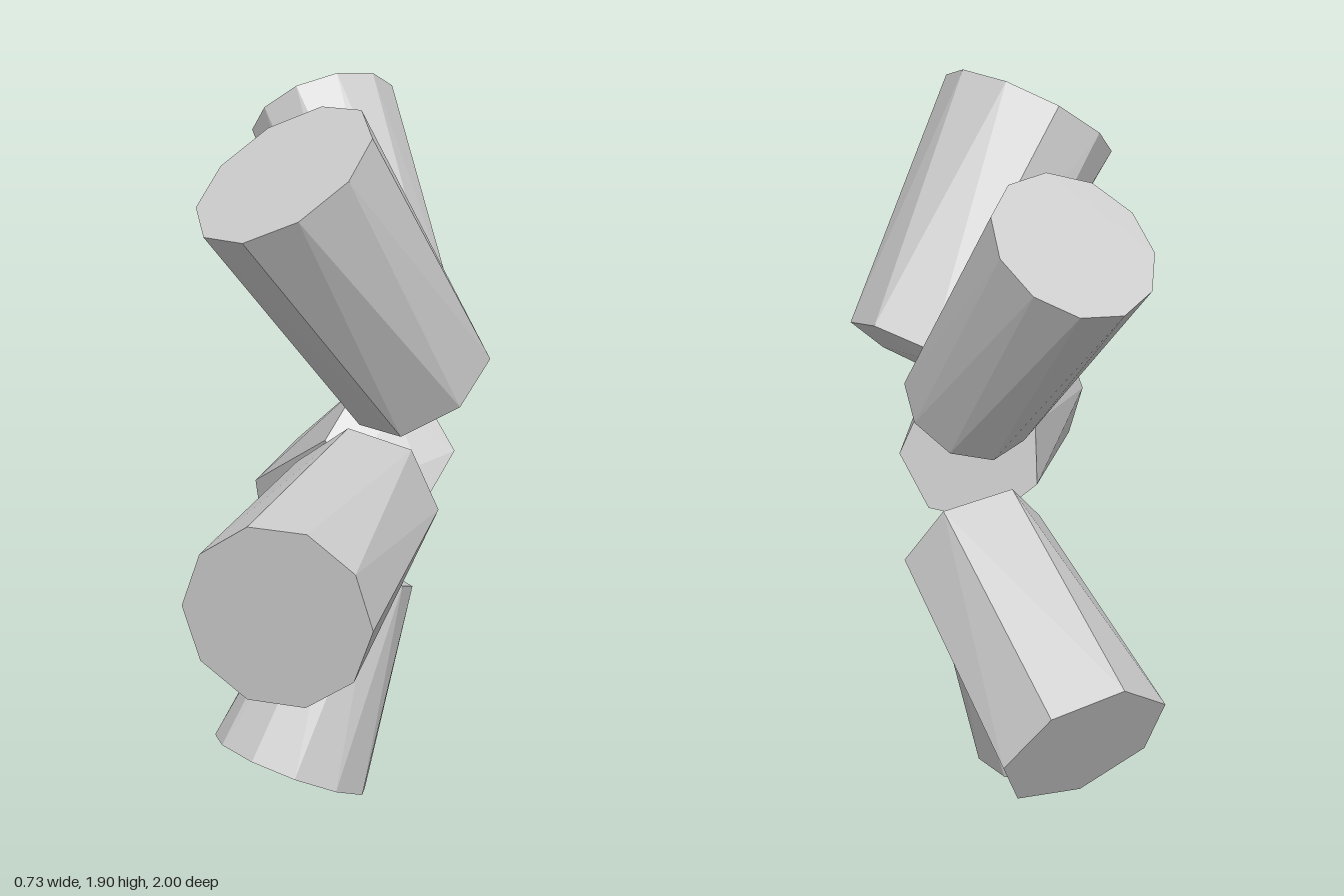
import * as THREE from 'three';
import { ConvexGeometry } from 'three/addons/geometries/ConvexGeometry.js';

// Points of a polygon ring around a centre, square to the axis
function ring(center, axis, radius, sides, phase) {
  const turn = new THREE.Quaternion().setFromUnitVectors(new THREE.Vector3(0, 1, 0), axis);
  const points = [];
  for (let i = 0; i < sides; i++) {
    const a = phase + (i / sides) * Math.PI * 2;
    points.push(new THREE.Vector3(Math.cos(a) * radius, 0, Math.sin(a) * radius)
      .applyQuaternion(turn).add(center));
  }
  return points;
}

// Tapered chunk: wide outer end, narrower and coarser inner end with a blunt tip
function chunk({ outer, inner, radii, sides, phase = 0, tip = 0 }) {
  const a = new THREE.Vector3(...outer);
  const b = new THREE.Vector3(...inner);
  const axis = a.clone().sub(b).normalize();
  const points = [
    ...ring(a, axis, radii[0], sides[0], phase),
    ...ring(b, axis, radii[1], sides[1], phase),
  ];
  if (tip > 0) {
    const tipCenter = b.clone().addScaledVector(axis, -tip);
    points.push(...ring(tipCenter, axis, radii[1] * 0.5, 3, phase + 0.4));
  }
  return new ConvexGeometry(points);
}

const CHUNKS = {
  upperFrontChunk: {
    outer: [-0.14, 1.76, 0.47], inner: [0.2, 1.18, 0.2],
    radii: [0.248, 0.195], sides: [10, 7], phase: 0.2, tip: 0.02,
  },
  upperBackChunk: {
    outer: [-0.09, 1.755, -0.69], inner: [0.12, 1.23, -0.32],
    radii: [0.21, 0.17], sides: [11, 9], phase: 0.1, tip: 0.02,
  },
  frontChunk: {
    outer: [-0.135, 0.785, 0.935], inner: [0.05, 0.87, 0.22],
    radii: [0.235, 0.2], sides: [10, 7], phase: 0.3,
  },
  lowerBackChunk: {
    outer: [-0.1, 0.54, -0.87], inner: [0.11, 0.87, -0.34],
    radii: [0.222, 0.19], sides: [7, 6], phase: 0.5, tip: 0.015,
  },
  bottomChunk: {
    outer: [-0.15, 0.09, 0.095], inner: [0.045, 0.61, -0.02],
    radii: [0.22, 0.14], sides: [11, 9],
  },
};

export function createModel() {
  const model = new THREE.Group();
  model.name = 'chunkRing';
  const material = new THREE.MeshStandardMaterial({ color: 0xcccccc, flatShading: true });

  // Five separate chunks fanned around an empty middle
  for (const [name, spec] of Object.entries(CHUNKS)) {
    const mesh = new THREE.Mesh(chunk(spec), material);
    mesh.name = name;
    model.add(mesh);
  }
  return model;
}
